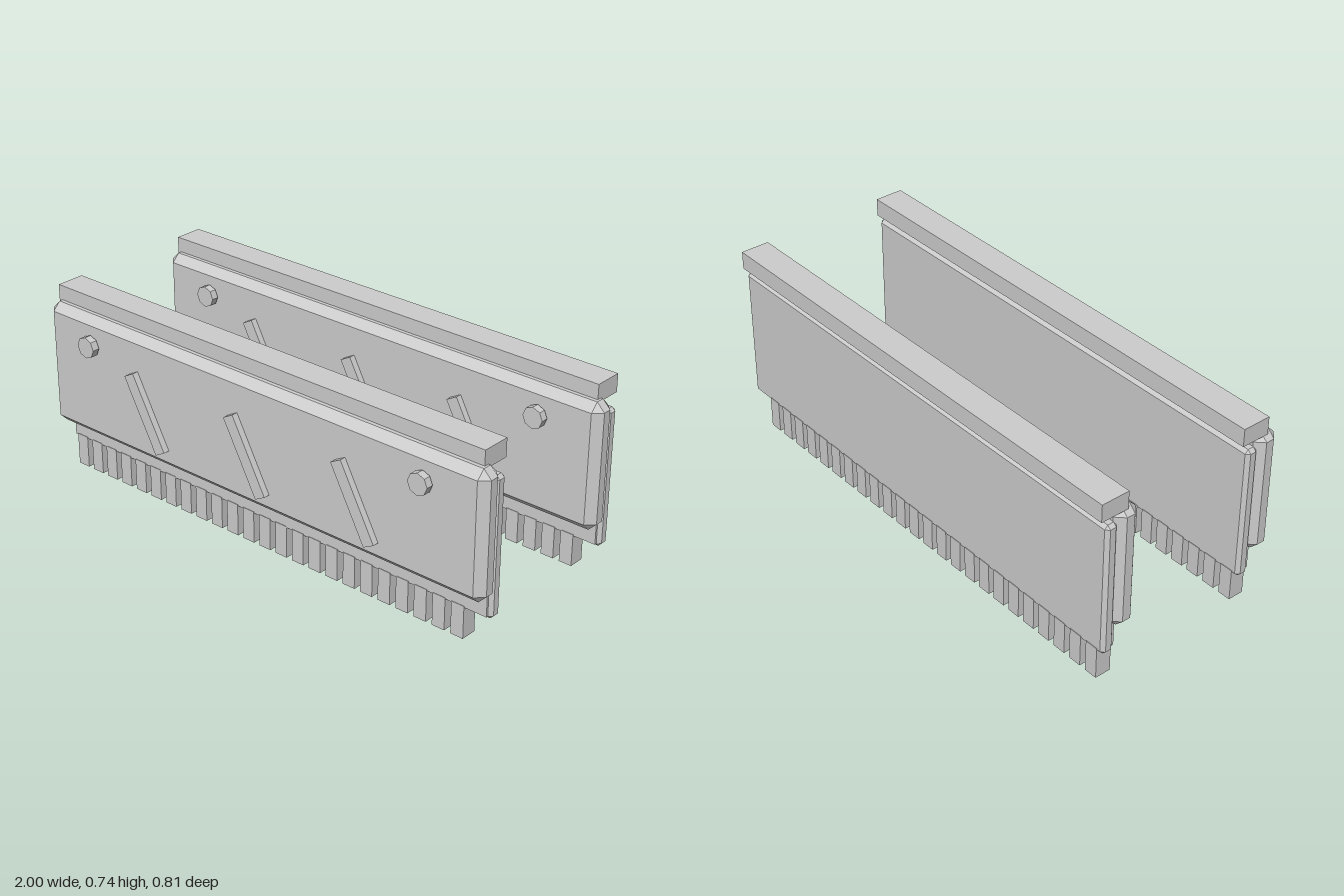
import * as THREE from 'three';
import { ConvexGeometry } from 'three/addons/geometries/ConvexGeometry.js';

const grey = new THREE.MeshStandardMaterial({ color: 0xcccccc, flatShading: true });
grey.name = 'plain grey';

function add(group, name, geometry, x, y, z) {
  const mesh = new THREE.Mesh(geometry, grey);
  mesh.name = name;
  mesh.position.set(x, y, z);
  group.add(mesh);
  return mesh;
}

// box placed by its limits on each axis
function box(group, name, [x0, x1], [y0, y1], [z0, z1]) {
  return add(group, name, new THREE.BoxGeometry(x1 - x0, y1 - y0, z1 - z0),
    (x0 + x1) / 2, (y0 + y1) / 2, (z0 + z1) / 2);
}

// box with all edges and corners chamfered by b
function chamferBox(w, h, d, b) {
  const X = w / 2, Y = h / 2, Z = d / 2;
  const points = [];
  for (const i of [-1, 1]) for (const j of [-1, 1]) for (const k of [-1, 1]) {
    points.push(
      new THREE.Vector3(i * X, j * (Y - b), k * (Z - b)),
      new THREE.Vector3(i * (X - b), j * Y, k * (Z - b)),
      new THREE.Vector3(i * (X - b), j * (Y - b), k * Z));
  }
  return new ConvexGeometry(points);
}

function memoryStick() {
  const g = new THREE.Group();

  // heat spreader on the front of the circuit board
  add(g, 'heatSpreader', chamferBox(2, 0.484, 0.095, 0.031), 0, 0.439, 0.3195);
  add(g, 'circuitBoard', chamferBox(1.97, 0.526, 0.05, 0.013), 0, 0.37, 0.26);
  box(g, 'boardFacing', [-0.972, 0.972], [0.12, 0.3], [0.28, 0.293]);

  // bar along the top
  box(g, 'topBar', [-0.985, 0.961], [0.668, 0.737], [0.209, 0.321]);

  // contact pins along the bottom
  const pins = 24;
  for (let i = 0; i < pins; i++) {
    const x = -0.933 + i * 0.0778;
    box(g, 'contactPin', [x - 0.026, x + 0.026], [0, 0.125], [0.233, 0.295]);
  }

  // slanted ribs on the front face
  for (const x of [-0.487, -0.002, 0.483]) {
    const rib = add(g, 'slantedRib', new THREE.BoxGeometry(0.049, 0.304, 0.03), x, 0.398, 0.376);
    rib.rotation.z = THREE.MathUtils.degToRad(28.4);
  }

  // eight-sided studs near the upper corners
  for (const x of [-0.765, 0.762]) {
    const stud = add(g, 'stud', new THREE.CylinderGeometry(0.0405, 0.0405, 0.028, 8), x, 0.578, 0.39);
    stud.rotation.x = Math.PI / 2;
  }
  return g;
}

export function createModel() {
  const model = new THREE.Group();
  model.name = 'memoryModules';

  const front = memoryStick();
  front.name = 'frontModule';
  const back = memoryStick();
  back.name = 'backModule';
  back.position.z = -0.612;

  model.add(front, back);
  return model;
}
